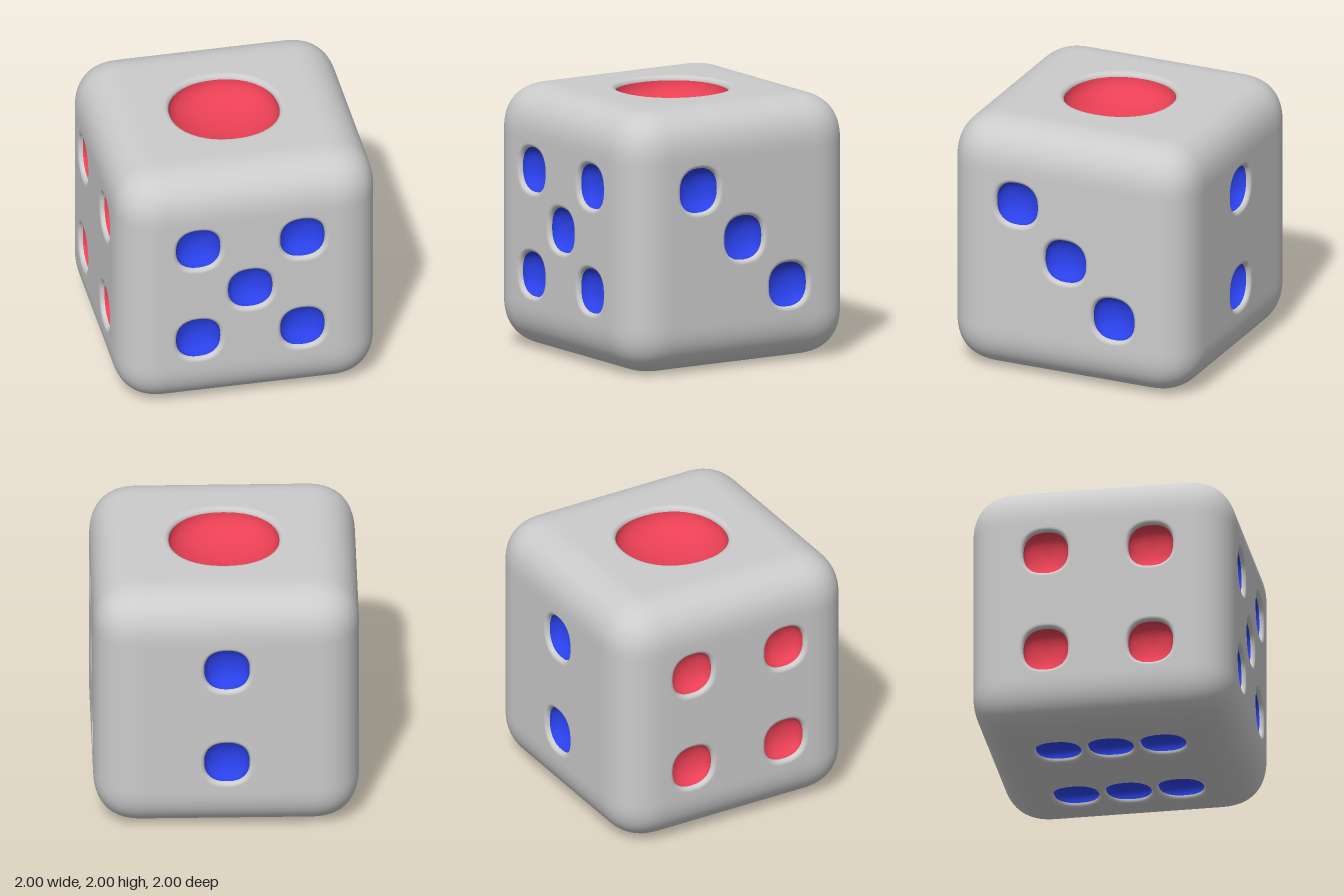
import * as THREE from 'three';

const FLAT = 0.62;        // half width of the flat part of a face
const ROUND = 1 - FLAT;   // reach of the rounded edges
const POWER = 2.5;        // squareness of the edge rounding

const grey = new THREE.MeshStandardMaterial({ color: 0xcccccc });
const red = new THREE.MeshStandardMaterial({ color: 0xe94054 });
const blue = new THREE.MeshStandardMaterial({ color: 0x2a41e9 });

// Rounded edges and corners: a box pushed onto a soft rounding, without its flat middles
function edgeGeometry() {
  const n = 12, seg = 2 * n + 1;
  const geo = new THREE.BoxGeometry(2, 2, 2, seg, seg, seg);
  const pos = geo.attributes.position, nor = geo.attributes.normal;
  const spread = (c) => {
    const i = Math.round((c + 1) / 2 * seg);
    return i <= n ? -1 + ROUND * i / n : FLAT + ROUND * (i - n - 1) / n;
  };
  for (let i = 0; i < pos.count; i++) {
    const v = [pos.getX(i), pos.getY(i), pos.getZ(i)].map(spread);
    const core = v.map((c) => Math.max(-FLAT, Math.min(FLAT, c)));
    const d = v.map((c, k) => c - core[k]);
    const len = Math.pow(d.reduce((s, c) => s + Math.pow(Math.abs(c), POWER), 0), 1 / POWER);
    const e = d.map((c) => c / len);
    pos.setXYZ(i, ...core.map((c, k) => c + e[k] * ROUND));
    const normal = new THREE.Vector3(...e.map((c) => Math.sign(c) * Math.pow(Math.abs(c), POWER - 1)));
    nor.setXYZ(i, ...normal.normalize().toArray());
  }
  // drop the triangles that lie in the flat middle square
  const isFlat = (i) => [pos.getX(i), pos.getY(i), pos.getZ(i)]
    .filter((c) => Math.abs(c) < FLAT + 1e-4).length === 2;
  const old = geo.index.array, kept = [];
  for (let t = 0; t < old.length; t += 3) {
    const tri = [old[t], old[t + 1], old[t + 2]];
    if (!tri.every(isFlat)) kept.push(...tri);
  }
  geo.setIndex(kept);
  return geo;
}

// Slightly squared circle used for pit outlines
const SIDES = 48;
function outline(r, power) {
  return Array.from({ length: SIDES }, (_, j) => {
    const a = j / SIDES * Math.PI * 2, c = Math.cos(a), s = Math.sin(a);
    const k = r / Math.pow(Math.pow(Math.abs(c), power) + Math.pow(Math.abs(s), power), 1 / power);
    return new THREE.Vector2(c * k, s * k);
  });
}

// Surface through rings given from the outside inwards as [radius, height]
function ringGeometry(profile, power) {
  const points = [], index = [];
  profile.forEach(([r, z], i) => {
    outline(r, power).forEach((p, j) => {
      points.push(p.x, p.y, z);
      if (i === profile.length - 1) return;
      const a = i * SIDES + j, b = i * SIDES + (j + 1) % SIDES;
      index.push(a, b, a + SIDES, b, b + SIDES, a + SIDES);
    });
  });
  const geo = new THREE.BufferGeometry();
  geo.setAttribute('position', new THREE.Float32BufferAttribute(points, 3));
  geo.setIndex(index);
  geo.computeVertexNormals();
  return geo;
}

// A pit is a rounded grey lip and a coloured bowl
function pitType(radius, lip, depth, power) {
  const drop = 0.035, steps = 12;
  const lipProfile = [[radius + lip + 0.005, 0]], bowlProfile = [];
  for (let i = 0; i <= 6; i++) {
    const a = i / 6 * Math.PI / 2;
    lipProfile.push([radius + lip * (1 - Math.sin(a)), -drop * (1 - Math.cos(a))]);
  }
  for (let i = 0; i <= steps; i++) {
    const a = i / steps * Math.PI / 2;
    bowlProfile.push([Math.max(radius * Math.cos(a), 1e-4), -drop - depth * Math.sin(a)]);
  }
  return {
    power, outer: radius + lip + 0.005,
    lip: ringGeometry(lipProfile, power),
    bowl: ringGeometry(bowlProfile, power),
  };
}

export function createModel() {
  const model = new THREE.Group();
  model.name = 'die';
  const body = new THREE.Group();
  body.name = 'body';
  body.position.y = 1;
  model.add(body);

  const add = (parent, geo, mat, name) => {
    const mesh = new THREE.Mesh(geo, mat);
    mesh.name = name;
    parent.add(mesh);
    return mesh;
  };
  add(body, edgeGeometry(), grey, 'roundedEdges');

  const small = pitType(0.17, 0.03, 0.11, 2.4);
  const large = pitType(0.416, 0.04, 0.2, 2.15);
  const q = 0.4, h = Math.PI / 2;
  const corners = [[-q, -q], [q, -q], [-q, q], [q, q]];

  // name, turn about x, turn about y, pit, colour, pit centres
  const faces = [
    ['front', 0, 0, small, blue, [...corners, [0, 0]]],
    ['left', 0, h, small, blue, [[-q, q], [0, 0], [q, -q]]],
    ['back', 0, 2 * h, small, blue, [[0, q], [0, -q]]],
    ['right', 0, -h, small, red, corners],
    ['top', -h, 0, large, red, [[0, 0]]],
    ['bottom', h, 0, small, blue, [...corners, [-q, 0], [q, 0]]],
  ];

  for (const [name, rx, ry, pit, color, centres] of faces) {
    const side = new THREE.Group();
    side.name = name + 'Face';
    side.rotation.set(rx, ry, 0);
    body.add(side);

    // flat panel with an opening for each pit
    const panel = new THREE.Shape([[-1, -1], [1, -1], [1, 1], [-1, 1]]
      .map(([x, y]) => new THREE.Vector2(x * FLAT, y * FLAT)));
    for (const [x, y] of centres) {
      const rim = outline(pit.outer, pit.power).map((p) => p.add(new THREE.Vector2(x, y)));
      panel.holes.push(new THREE.Path(rim.reverse()));
      add(side, pit.lip, grey, name + 'PitLip').position.set(x, y, 1);
      add(side, pit.bowl, color, name + 'Pit').position.set(x, y, 1);
    }
    add(side, new THREE.ShapeGeometry(panel), grey, name + 'Panel').position.z = 1;
  }
  return model;
}
